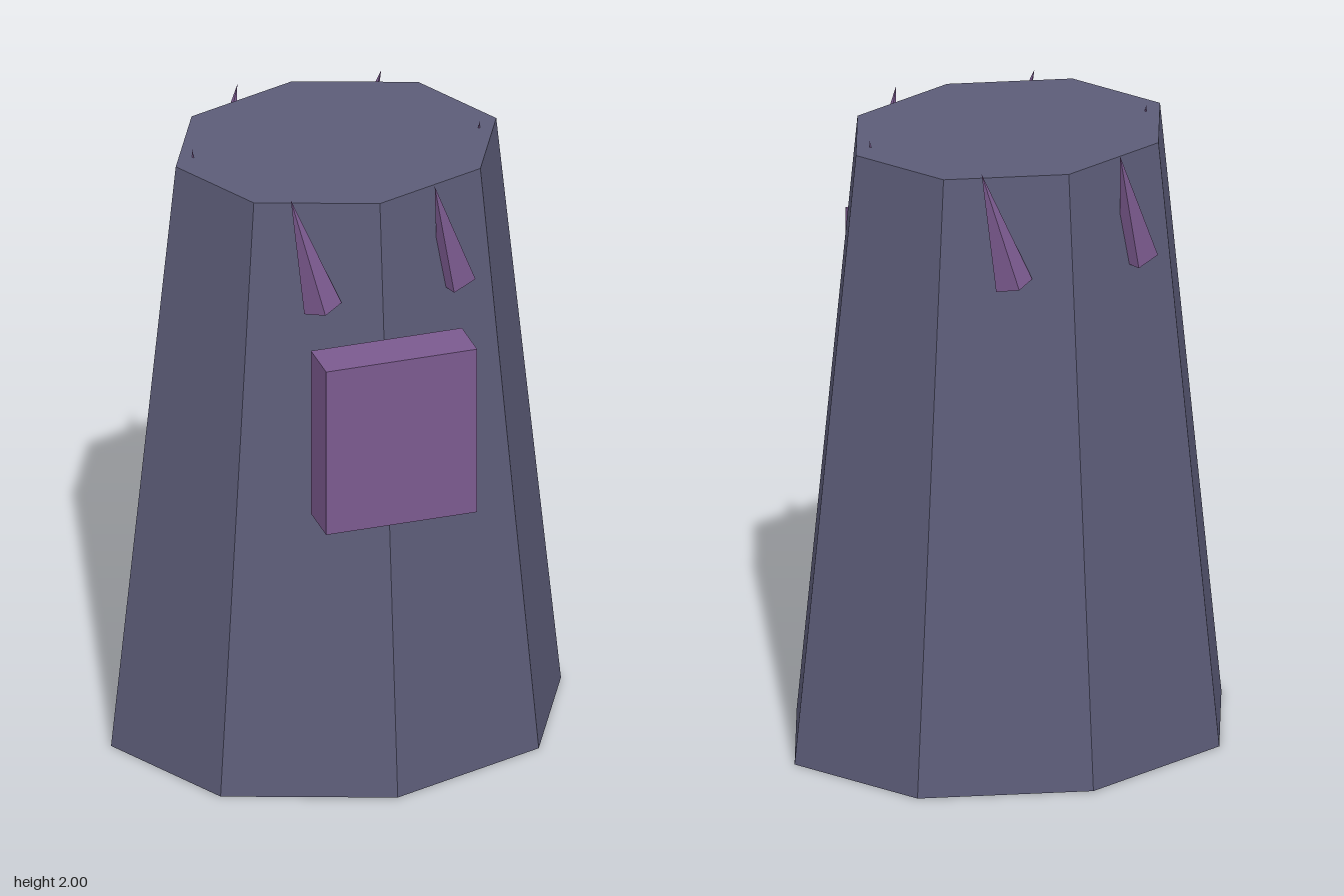
import * as THREE from 'three';

export function createModel() {
  const model = new THREE.Group();
  const slate = new THREE.MeshStandardMaterial({ color: 0x5c5c78, flatShading: true });
  const purple = new THREE.MeshStandardMaterial({ color: 0x7b5a8f, flatShading: true });

  const add = (name, geometry, material, x, y, z) => {
    const mesh = new THREE.Mesh(geometry, material);
    mesh.name = name;
    mesh.position.set(x, y, z);
    model.add(mesh);
    return mesh;
  };

  // Tapered eight-sided body, flattened front to back
  const bodyZ = -0.02, height = 1.975;
  const bodyGeometry = new THREE.CylinderGeometry(0.52, 0.73, height, 8).scale(1, 1, 0.83);
  add('body', bodyGeometry, slate, 0, height / 2, bodyZ);

  // Panel on the front
  add('frontPanel', new THREE.BoxGeometry(0.49, 0.565, 0.15), purple, 0, 1.2525, 0.55);

  // Ring of six square spikes, each leaning along the ring
  const lean = 0.27;
  const spins = [-27, -34, -20]; // degrees of twist, repeating on the opposite side
  for (let i = 0; i < 6; i++) {
    const a = (i * Math.PI) / 3;
    const geometry = new THREE.ConeGeometry(0.06, 0.378, 4)
      .rotateY(-THREE.MathUtils.degToRad(spins[i % 3]));
    const spike = add('spike' + (i + 1), geometry, purple,
      0.45 * Math.cos(a), 1.817, bodyZ + 0.456 * Math.sin(a));
    spike.rotation.set(lean, -a, 0, 'YXZ');
  }
  return model;
}
